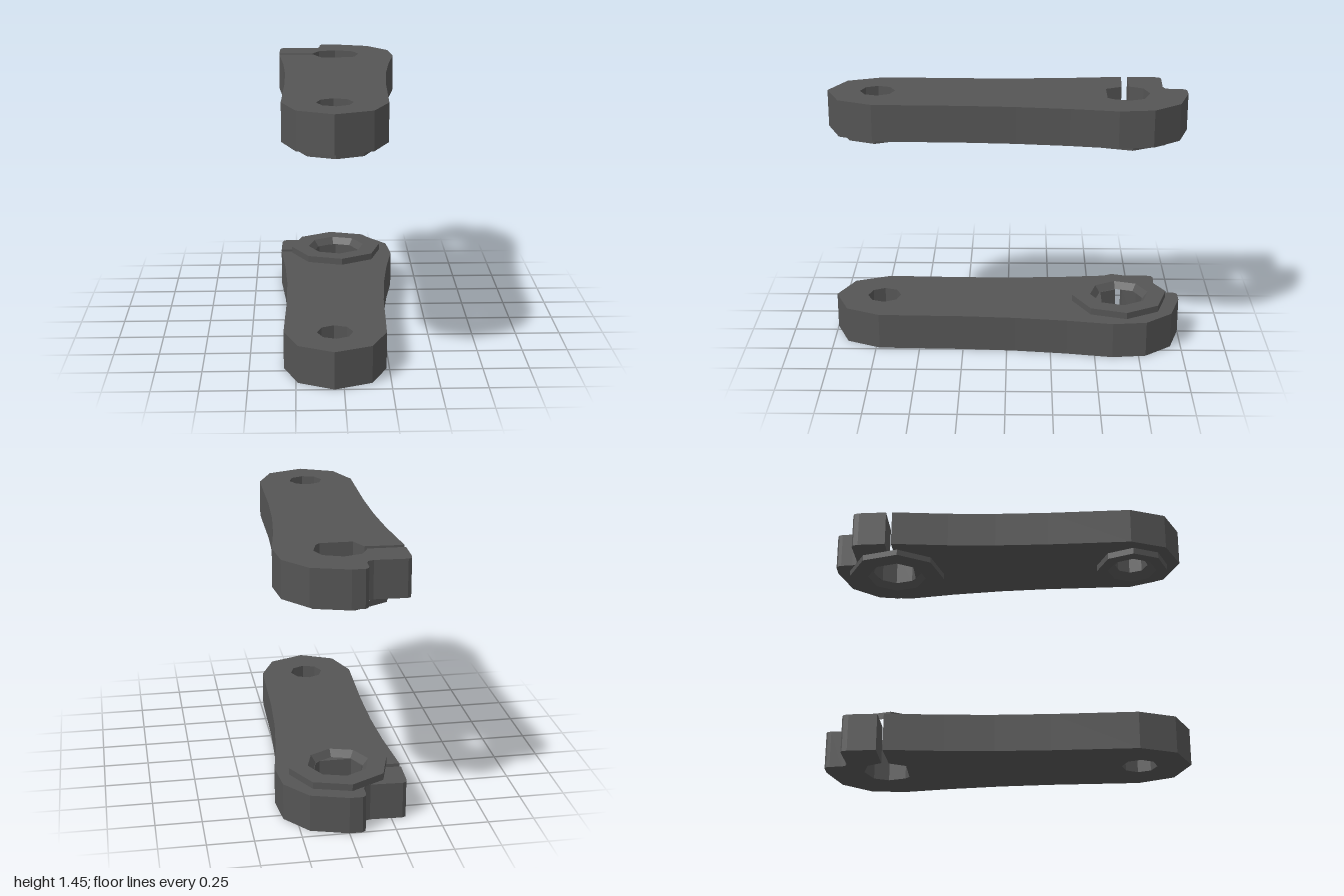
import * as THREE from 'three';

const material = new THREE.MeshStandardMaterial({ color: 0x555555, flatShading: true });

// All plan points are [x, z]
const boreHole = [
  [-0.14, -0.68], [-0.1, -0.76], [0, -0.79], [0.105, -0.75], [0.137, -0.67],
  [0.11, -0.575], [0.085, -0.55], [-0.09, -0.55], [-0.132, -0.64],
];
const pinHole = Array.from({ length: 8 }, (_, i) => {
  const a = 0.05 + (i * Math.PI) / 4;
  return [-0.04 + 0.097 * Math.sin(a), 0.72 + 0.097 * Math.cos(a)];
});

// Arm outline; the clamp slot joins the bore to the outside edge
const armOutline = [
  [-0.05, 1], [0.15, 0.92], [0.235, 0.73], [0.247, 0.24], [0.265, -0.05], [0.298, -0.34],
  [0.34, -0.6], [0.32, -0.79], [0.2, -0.94], [0, -1], [-0.07, -1], [-0.085, -0.99],
  [-0.092, -0.97], [-0.094, -0.905], [-0.105, -0.88], [-0.135, -0.87], [-0.31, -0.877],
  [-0.328, -0.868], [-0.336, -0.84], [-0.34, -0.685],
  ...boreHole,
  [-0.34, -0.65], [-0.312, -0.33], [-0.3, -0.06], [-0.3, 0.24], [-0.315, 0.71], [-0.24, 0.91],
];

// Flat arm plate with its pin hole
function armBody(name, bottom) {
  const toPoints = (list) => list.map(([x, z]) => new THREE.Vector2(x, -z));
  const shape = new THREE.Shape(toPoints(armOutline));
  shape.holes.push(new THREE.Path(toPoints(pinHole)));
  const geometry = new THREE.ExtrudeGeometry(shape, { depth: 0.207, bevelEnabled: false });
  geometry.rotateX(-Math.PI / 2);
  const mesh = new THREE.Mesh(geometry, material);
  mesh.position.y = bottom;
  mesh.name = name;
  return mesh;
}

// Eight-sided boss with a countersunk hole; a negative height hangs it below the arm
function boss(name, { x, z, turn, outer, mouth, hole }, base, height) {
  const profile = [[outer, 0], [outer, height], [mouth, height], [hole, 0]];
  if (height < 0) profile.reverse();
  const points = profile.map(([r, y]) => new THREE.Vector2(r, y));
  const mesh = new THREE.Mesh(new THREE.LatheGeometry(points, 8, turn), material);
  mesh.position.set(x, base, z);
  mesh.name = name;
  return mesh;
}

export function createModel() {
  const model = new THREE.Group();
  model.name = 'crankArms';

  const bore = { x: 0, z: -0.652, turn: 0.105, outer: 0.275, mouth: 0.17, hole: 0.14 };
  const pin = { x: -0.04, z: 0.725, turn: 0, outer: 0.203, mouth: 0.14, hole: 0.098 };

  // Lower arm with a raised boss around the bore
  const lower = new THREE.Group();
  lower.name = 'lowerArm';
  lower.add(
    armBody('lowerArmBody', 0),
    boss('lowerBoreBoss', bore, 0.207, 0.038),
  );

  // Upper arm with bosses beneath both holes
  const upper = new THREE.Group();
  upper.name = 'upperArm';
  upper.add(
    armBody('upperArmBody', 1.245),
    boss('upperBoreBoss', bore, 1.245, -0.034),
    boss('upperPinBoss', pin, 1.245, -0.037),
  );

  model.add(lower, upper);
  return model;
}
